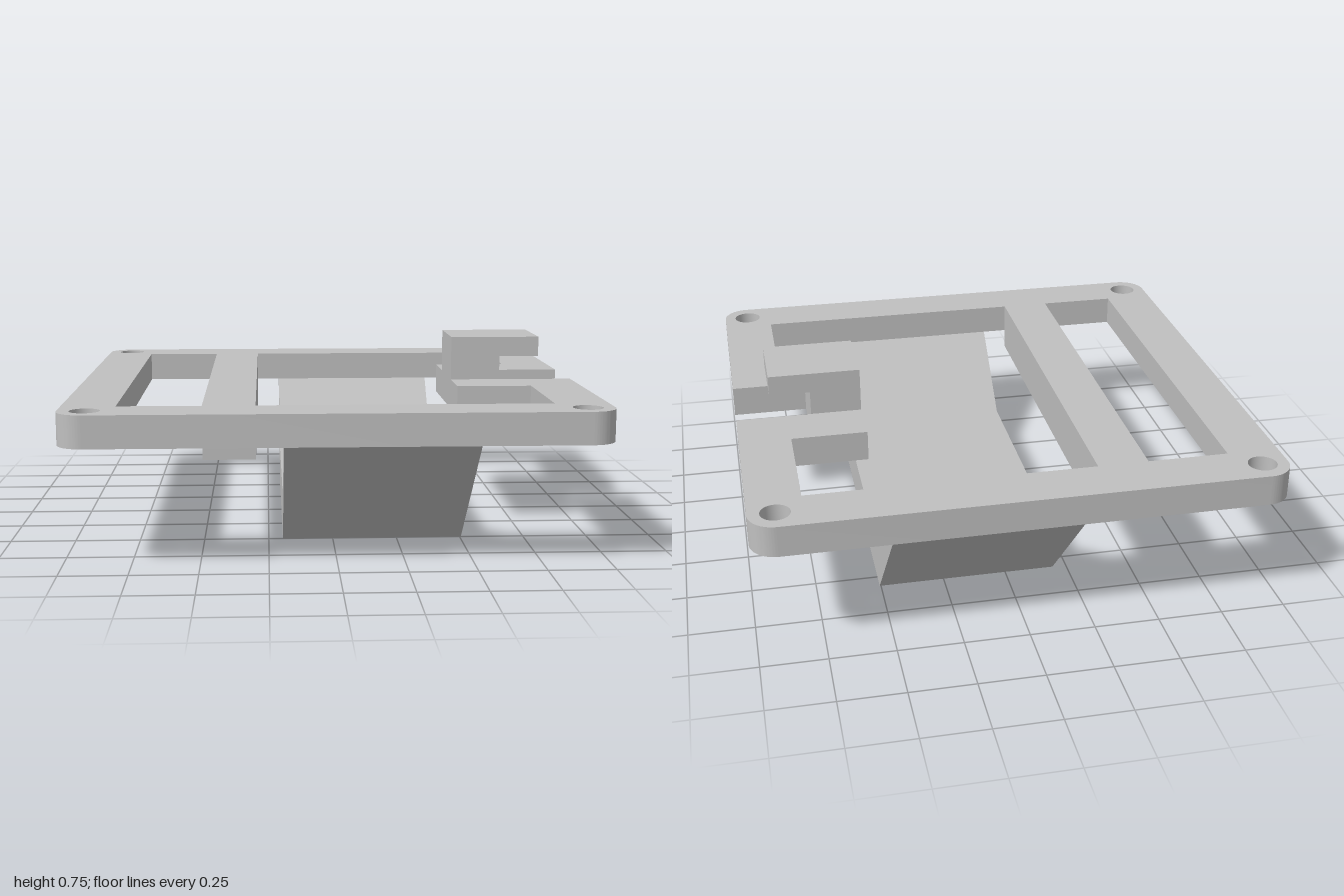
import * as THREE from 'three';
import { toCreasedNormals } from 'three/addons/utils/BufferGeometryUtils.js';

const plateBottom = 0.455, plateTop = 0.575;
const barX = [-0.49, -0.295];     // long rib
const clipZ = [-0.155, 0.14];     // notch and clip width
const clipX = [0.505, 0.705];     // clip post

const points = (list) => list.map(([a, b]) => new THREE.Vector2(a, b));

export function createModel() {
  const group = new THREE.Group();
  const grey = new THREE.MeshStandardMaterial({ color: 0xc0c0c0 });
  grey.name = 'light grey';

  const add = (name, geometry) => {
    const mesh = new THREE.Mesh(geometry, grey);
    mesh.name = name;
    group.add(mesh);
  };
  const box = (name, [x0, x1], [y0, y1], [z0, z1]) => add(name,
    new THREE.BoxGeometry(x1 - x0, y1 - y0, z1 - z0)
      .translate((x0 + x1) / 2, (y0 + y1) / 2, (z0 + z1) / 2));

  // Frame plate, drawn as (x, -z): rounded outline with a notch on the left side
  const r = 0.1, c = 1 - r;
  const outline = new THREE.Shape();
  outline.moveTo(-c, -1);
  outline.lineTo(c, -1);
  outline.absarc(c, -c, r, -Math.PI / 2, 0, false);
  outline.lineTo(1, -clipZ[1]);
  outline.lineTo(clipX[1], -clipZ[1]);
  outline.lineTo(clipX[1], -clipZ[0]);
  outline.lineTo(1, -clipZ[0]);
  outline.lineTo(1, c);
  outline.absarc(c, c, r, 0, Math.PI / 2, false);
  outline.lineTo(-c, 1);
  outline.absarc(-c, c, r, Math.PI / 2, Math.PI, false);
  outline.lineTo(-1, -c);
  outline.absarc(-c, -c, r, Math.PI, Math.PI * 1.5, false);

  // Narrow slot, and the main window with the tab reaching into it
  outline.holes.push(new THREE.Path(points([
    [-0.8, -0.8], [-0.8, 0.8], [barX[0], 0.8], [barX[0], -0.8]])));
  outline.holes.push(new THREE.Path(points([
    [barX[1], -0.8], [barX[1], 0.8], [0.8, 0.8], [0.8, 0.355],
    [clipX[0], 0.355], [clipX[0], -0.34], [0.8, -0.34], [0.8, -0.8]])));

  // Corner screw holes
  for (const sx of [-1, 1]) for (const sz of [-1, 1]) {
    outline.holes.push(new THREE.Path().absarc(sx * 0.9, sz * 0.9, 0.055, 0, Math.PI * 2, true));
  }
  const plate = new THREE.ExtrudeGeometry(outline, {
    depth: plateTop - plateBottom, bevelEnabled: false, curveSegments: 16 });
  plate.rotateX(-Math.PI / 2).translate(0, plateBottom, 0);
  add('framePlate', toCreasedNormals(plate, 0.6));

  // Deeper underside of the long rib
  box('ribUnderside', barX, [0.375, plateBottom], [-0.8, 0.8]);

  // Hanging tray, drawn as (z, y) and extruded across x
  const tray = new THREE.ExtrudeGeometry(new THREE.Shape(points([
    [1, plateBottom], [0.8, plateBottom], [0.5, 0.18], [-0.535, 0.18],
    [-0.8, plateBottom], [-1, plateBottom], [-0.565, 0], [0.5, 0]])),
  { depth: 0.7, bevelEnabled: false });
  tray.rotateY(-Math.PI / 2).translate(0.505, 0, 0);
  add('hangingTray', tray);

  // Clip: post with an outward hook, drawn as (x, y)
  const clip = new THREE.ExtrudeGeometry(new THREE.Shape(points([
    [clipX[0], plateTop], [clipX[1], plateTop], [clipX[1], 0.67],
    [0.865, 0.67], [0.865, 0.75], [clipX[0], 0.75]])),
  { depth: clipZ[1] - clipZ[0], bevelEnabled: false });
  clip.translate(0, 0, clipZ[0]);
  add('hookClip', clip);

  return group;
}
